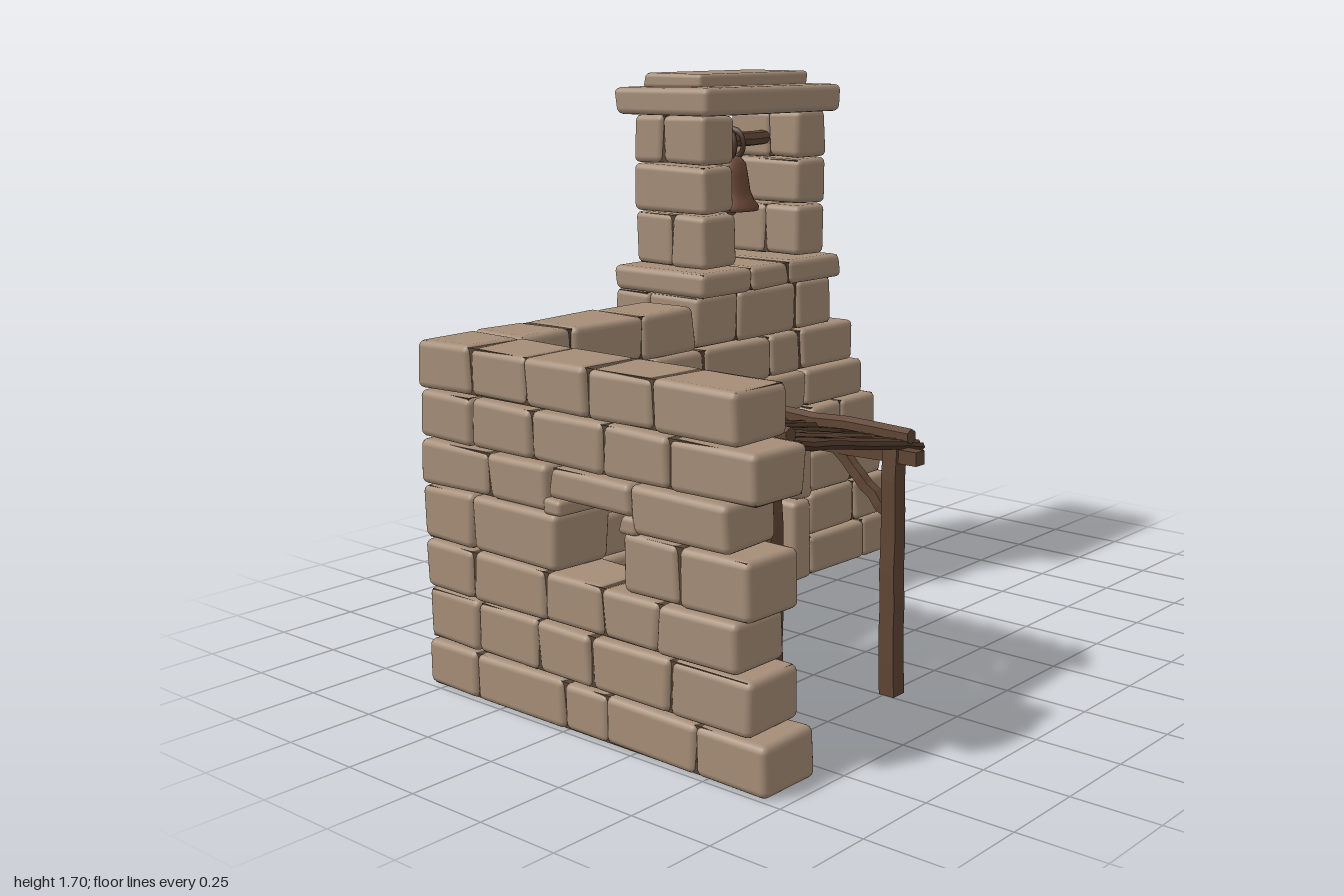
import * as THREE from 'three';
import { RoundedBoxGeometry } from 'three/addons/geometries/RoundedBoxGeometry.js';

const paint = (name, hex) => {
  const m = new THREE.MeshStandardMaterial({ color: hex });
  m.name = name;
  return m;
};

export function createModel() {
  const stoneMat = paint('sandstone', 0xa58d77);
  const mortarMat = paint('dark mortar', 0x564536);
  const woodMat = paint('brown wood', 0x5f4534);
  const darkWoodMat = paint('dark wood', 0x4a3527);
  const clayMat = paint('brown clay', 0x674c3a);
  const bronzeMat = paint('old bronze', 0x6b4837);
  clayMat.side = bronzeMat.side = THREE.DoubleSide;

  let seed = 11;
  const rnd = () => (seed = (seed * 16807) % 2147483647) / 2147483647;
  const jit = a => (rnd() * 2 - 1) * a;
  const root = new THREE.Group();
  const part = (name, parent = root) => {
    const g = new THREE.Group();
    g.name = name;
    parent.add(g);
    return g;
  };
  const add = (parent, geo, mat, name, x = 0, y = 0, z = 0) => {
    const m = new THREE.Mesh(geo, mat);
    m.name = name;
    m.position.set(x, y, z);
    parent.add(m);
    return m;
  };

  // One worn block: rounded box whose eight corners are nudged
  function stone(parent, x0, x1, y0, y1, z0, z1, wobble = 0.007) {
    const w = x1 - x0 - 0.005, h = y1 - y0 - 0.005, d = z1 - z0;
    const geo = new RoundedBoxGeometry(w, h, d, 2, Math.min(0.02, h * 0.3, w * 0.3));
    const corners = Array.from({ length: 8 }, () => [jit(wobble), jit(wobble * 0.5), jit(wobble)]);
    const p = geo.attributes.position;
    for (let i = 0; i < p.count; i++) {
      const q = [p.getX(i), p.getY(i), p.getZ(i)];
      const t = [q[0] / w + 0.5, q[1] / h + 0.5, q[2] / d + 0.5];
      corners.forEach((c, k) => {
        const f = (k & 1 ? t[0] : 1 - t[0]) * (k & 2 ? t[1] : 1 - t[1]) * (k & 4 ? t[2] : 1 - t[2]);
        for (let a = 0; a < 3; a++) q[a] += c[a] * f;
      });
      p.setXYZ(i, ...q);
    }
    return add(parent, geo, stoneMat, 'stone', (x0 + x1) / 2, (y0 + y1) / 2, (z0 + z1) / 2);
  }

  // A run of blocks along x or z around a recessed mortar core
  function course(parent, axis, a0, a1, y0, y1, b0, b1, n = Math.max(1, Math.round((a1 - a0) / 0.23))) {
    const s = 0.014;
    const core = axis === 'x' ? [a1 - a0 - 2 * s, b1 - b0 - 2 * s] : [b1 - b0 - 2 * s, a1 - a0 - 2 * s];
    const mid = axis === 'x' ? [(a0 + a1) / 2, (b0 + b1) / 2] : [(b0 + b1) / 2, (a0 + a1) / 2];
    add(parent, new THREE.BoxGeometry(core[0], y1 - y0 - 0.012, core[1]), mortarMat, 'mortar', mid[0], (y0 + y1) / 2, mid[1]);
    const step = (a1 - a0) / n;
    let a = a0;
    for (let i = 1; i <= n; i++) {
      const b = i === n ? a1 : a0 + i * step + jit(step * 0.22);
      if (axis === 'x') stone(parent, a, b, y0, y1, b0, b1);
      else stone(parent, b0, b1, y0, y1, a, b);
      a = b;
    }
  }

  // Front wall with its stepped right shoulder, side wall, and tower back
  const levels = [0, 0.14, 0.29, 0.43, 0.59, 0.72, 0.86, 1.0];
  const rightEnd = [0.99, 0.92, 0.88, 0.84, 0.76, 0.71, 0.59];
  const wingEnd = [0.7, 0.65, 0.61, 0.65, 0.58, 0.68, 0.62];
  const wall = part('frontWall'), wing = part('sideWall'), back = part('towerBack');
  const zf = -0.34, zb = -0.55;
  for (let i = 0; i < 7; i++) {
    const y0 = levels[i], y1 = levels[i + 1], odd = i % 2;
    const x0 = odd ? -1 : -0.8, z0 = odd ? zf : zb;
    const doorSide = i < 4 ? [-0.04, 0.47] : i === 4 ? [-0.02, 0.45] : null;
    if (doorSide) {
      course(wall, 'x', x0, doorSide[0], y0, y1, zb, zf);
      course(wall, 'x', doorSide[1], rightEnd[i], y0, y1, zb, zf);
    } else if (i === 5) course(wall, 'x', x0, rightEnd[i], y0, y1, zb, zf);
    else {
      course(wall, 'x', x0, -0.09, y0, y1, zb, zf, 3);
      course(wall, 'x', -0.09, 0.59, y0, 1.025, zb, zf, 3);
    }
    course(back, 'x', -0.09, 0.59, y0, i === 6 ? 1.025 : y1, -0.7, zb, odd ? 3 : 2);
    // The side wall leaves a small window
    if (i === 3) {
      course(wing, 'z', z0, -0.01, y0, y1, -1, -0.8);
      course(wing, 'z', 0.23, wingEnd[i], y0, y1, -1, -0.8);
    } else if (i === 4) {
      course(wing, 'z', z0, -0.04, y0, y1, -1, -0.8);
      course(wing, 'z', -0.04, 0.26, 0.63, y1, -1, -0.8, 1);
      course(wing, 'z', 0.26, wingEnd[i], y0, y1, -1, -0.8);
    } else course(wing, 'z', z0, wingEnd[i], y0, y1, -1, -0.8, odd ? 4 : 5);
  }
  stone(wing, -1, -0.8, 0.585, 0.635, -0.06, 0.01);
  stone(wing, -1, -0.8, 0.585, 0.635, 0.22, 0.28);

  // Doorway: jambs, lintel, carved cross and plank door
  const doorway = part('doorway');
  for (const [a, b] of [[-0.04, 0.04], [0.38, 0.47]]) {
    stone(doorway, a, b, 0, 0.28, zb, -0.33);
    stone(doorway, a, b, 0.28, 0.59, zb, -0.335);
  }
  stone(doorway, -0.02, 0.45, 0.59, 0.72, zb, zf, 0.003);
  add(doorway, new THREE.BoxGeometry(0.075, 0.008, 0.009), mortarMat, 'crossBar', 0.21, 0.67, -0.337);
  add(doorway, new THREE.BoxGeometry(0.008, 0.075, 0.009), mortarMat, 'crossStem', 0.21, 0.665, -0.337);
  const door = part('door');
  add(door, new THREE.BoxGeometry(0.36, 0.6, 0.1), darkWoodMat, 'doorBacking', 0.21, 0.3, -0.48);
  for (let i = 0; i < 4; i++)
    add(door, new RoundedBoxGeometry(0.081, 0.585, 0.03, 1, 0.005), woodMat, 'doorPlank', 0.083 + i * 0.085, 0.295, -0.42 + jit(0.004));
  for (const y of [0.14, 0.49])
    add(door, new RoundedBoxGeometry(0.33, 0.04, 0.02, 1, 0.005), woodMat, 'doorBatten', 0.21, y, -0.397);

  // Bell tower
  const tower = part('bellTower');
  course(tower, 'x', -0.09, 0.6, 1.02, 1.1, -0.7, -0.31, 3);
  const pillarLevels = [1.1, 1.27, 1.42, 1.575];
  for (const x of [-0.04, 0.41])
    for (let i = 0; i < 3; i++)
      course(tower, 'z', -0.65, -0.35, pillarLevels[i], pillarLevels[i + 1], x, x + 0.15, 2 - (i % 2));
  stone(tower, -0.07, 0.59, 1.57, 1.66, -0.705, -0.31).name = 'capStone';
  stone(tower, 0, 0.515, 1.65, 1.7, -0.64, -0.39).name = 'topSlab';

  // Rough timber between two points; bow(t) may push it sideways in z
  function timber(parent, name, from, to, r, sides, mat, bow = () => 0, rough = 0.003) {
    const a = new THREE.Vector3(...from), b = new THREE.Vector3(...to), len = a.distanceTo(b);
    const geo = new THREE.CylinderGeometry(r * 0.92, r, len, sides, 8);
    if (sides === 4) geo.rotateY(Math.PI / 4);
    const shift = Array.from({ length: 9 }, () => [jit(rough), jit(rough)]);
    const turn = new THREE.Quaternion().setFromUnitVectors(new THREE.Vector3(0, 1, 0), b.clone().sub(a).normalize());
    const p = geo.attributes.position, v = new THREE.Vector3();
    for (let i = 0; i < p.count; i++) {
      v.fromBufferAttribute(p, i);
      const t = v.y / len + 0.5, s = shift[Math.round(t * 8)];
      v.x += s[0];
      v.z += s[1];
      v.applyQuaternion(turn);
      p.setXYZ(i, v.x, v.y, v.z + bow(t));
    }
    const flat = geo.toNonIndexed();
    flat.computeVertexNormals();
    const c = a.add(b).multiplyScalar(0.5);
    return add(parent, flat, mat, name, c.x, c.y, c.z);
  }

  // Bell on its beam
  const bell = part('bell');
  timber(bell, 'bellBeam', [0.09, 1.475, -0.5], [0.43, 1.485, -0.5], 0.026, 7, woodMat);
  const bellProfile = [[0, 1.435], [0.03, 1.43], [0.048, 1.41], [0.055, 1.37], [0.062, 1.32], [0.075, 1.29], [0.09, 1.272], [0.088, 1.258], [0.076, 1.262], [0.05, 1.33], [0, 1.41]];
  add(bell, new THREE.LatheGeometry(bellProfile.map(p => new THREE.Vector2(...p)), 24), bronzeMat, 'bellBody', 0.255, 0, -0.5);
  add(bell, new THREE.SphereGeometry(0.018, 10, 8), bronzeMat, 'clapper', 0.255, 1.257, -0.5);
  for (const s of [-1, 1]) {
    const strap = add(bell, new THREE.TorusGeometry(0.036, 0.009, 6, 16), darkWoodMat, 'strap', 0.255 + s * 0.014, 1.47, -0.5);
    strap.rotation.y = Math.PI / 2 + s * 0.2;
    strap.scale.y = 1.25;
  }

  // Lean-to: posts, beams, braces and the stick roof
  const shelter = part('shelter');
  const roofY = x => 0.825 - (x + 0.79) * 0.185;
  for (const [x, z] of [[-0.765, 0.52], [-0.225, 0.51], [-0.225, -0.31]])
    timber(shelter, 'post', [x, 0, z], [x, roofY(x) - 0.01, z], 0.036, 4, woodMat);
  for (const x of [-0.74, -0.22]) {
    const y = roofY(x);
    timber(shelter, 'beam', [x, y - 0.03, -0.34], [x, y - 0.03, 0.595], 0.03, 4, woodMat);
    timber(shelter, 'roofRail', [x + 0.03, y + 0.02, -0.34], [x + 0.03, y + 0.02, 0.545], 0.024, 6, woodMat);
  }
  timber(shelter, 'brace', [-0.225, 0.5, 0.52], [-0.225, 0.675, 0.32], 0.022, 4, woodMat);
  timber(shelter, 'brace', [-0.225, 0.52, -0.31], [-0.225, 0.675, -0.12], 0.022, 4, woodMat);
  const roof = part('stickRoof', shelter);
  const gaps = [-0.06, 0.38];
  for (let i = 0; i < 58; i++) {
    const z = -0.325 + i * 0.0151;
    const x0 = -0.785 + jit(0.02), x1 = -0.12 + jit(0.022), lift = jit(0.008);
    const bow = t => gaps.reduce((sum, g) => {
      const d = z - g, m = Math.max(0, Math.sin(Math.PI * t)) ** 3;
      return sum + Math.sign(d) * 0.02 * Math.exp(-Math.abs(d) / 0.04) * m;
    }, 0);
    timber(roof, 'stick', [x0, roofY(x0) + lift, z + jit(0.006)], [x1, roofY(x1) + lift, z + jit(0.006)],
      0.0105 + rnd() * 0.003, 5, i % 3 ? woodMat : darkWoodMat, bow, 0.0025);
  }

  // Stone bench against the side wall
  const bench = part('bench');
  stone(bench, -0.81, -0.61, 0.095, 0.16, -0.16, 0.12);
  stone(bench, -0.81, -0.61, 0.095, 0.16, 0.12, 0.41);
  for (const z of [-0.15, 0.02, 0.12, 0.31]) stone(bench, -0.8, -0.63, 0, 0.1, z, z + 0.09);

  // Clay jar
  const jarProfile = [[0, 0], [0.058, 0], [0.066, 0.03], [0.09, 0.1], [0.106, 0.18], [0.104, 0.225], [0.086, 0.26], [0.076, 0.278], [0.09, 0.295], [0.088, 0.308], [0.07, 0.3], [0.066, 0.27], [0.085, 0.2], [0.05, 0.04], [0, 0.03]];
  add(root, new THREE.LatheGeometry(jarProfile.map(p => new THREE.Vector2(...p)), 28), clayMat, 'jar', -0.655, 0, -0.235);

  return root;
}
